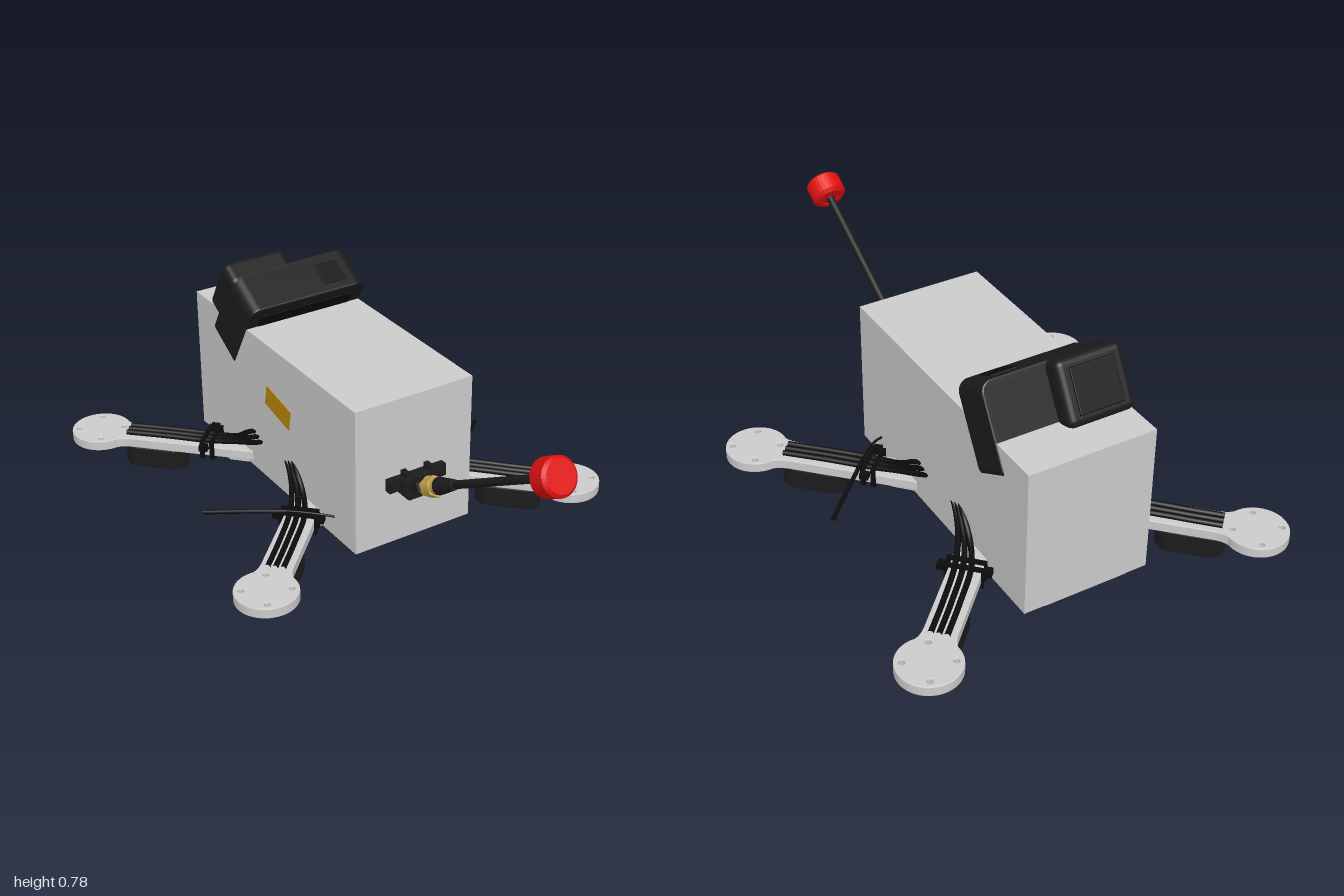
import * as THREE from 'three';
import { RoundedBoxGeometry } from 'three/addons/geometries/RoundedBoxGeometry.js';

const mat = (color) => new THREE.MeshStandardMaterial({ color });
const GREY = mat(0xcccccc), BLACK = mat(0x1c1c1c), WIRE = mat(0x0c0c0c);
const RED = mat(0xe01010), GOLD = mat(0xc8a84a), ORANGE = mat(0xb8860b);
const MID_Z = -0.295; // centre of the cross of arms

function add(parent, name, geometry, material, x = 0, y = 0, z = 0) {
  const mesh = new THREE.Mesh(geometry, material);
  mesh.name = name;
  mesh.position.set(x, y, z);
  parent.add(mesh);
  return mesh;
}
const box = (w, h, d) => new THREE.BoxGeometry(w, h, d);
const cyl = (r1, r2, h, n = 24) => new THREE.CylinderGeometry(r1, r2, h, n);
const tube = (pts, r, n = 24) => new THREE.TubeGeometry(
  new THREE.CatmullRomCurve3(pts.map((p) => new THREE.Vector3(...p))), n, r, 8);

// Flat outline extruded upwards from y = 0
function slab(shape, depth, bevel = 0) {
  const g = new THREE.ExtrudeGeometry(shape, {
    depth: depth - 2 * bevel, curveSegments: 20, bevelEnabled: bevel > 0,
    bevelSize: bevel, bevelThickness: bevel, bevelOffset: -bevel, bevelSegments: 2,
  });
  return g.rotateX(-Math.PI / 2).translate(0, bevel, 0);
}

// Arm outline along +x: straight beam, flared neck, round motor pad with four holes
function armShape() {
  const c = 0.8485, r = 0.105, w = 0.054, a = 2.45;
  const nx = c + r * Math.cos(a), ny = r * Math.sin(a);
  const s = new THREE.Shape();
  s.moveTo(0.05, -w);
  s.lineTo(nx - 0.06, -w);
  s.quadraticCurveTo(nx - 0.02, -w, nx, -ny);
  s.absarc(c, 0, r, -a, a, false);
  s.quadraticCurveTo(nx - 0.02, w, nx - 0.06, w);
  s.lineTo(0.05, w);
  for (let i = 0; i < 4; i++) {
    const t = 0.3 + i * Math.PI / 2;
    const hole = new THREE.Path();
    hole.absarc(c + 0.08 * Math.cos(t), 0.08 * Math.sin(t), 0.01, 0, Math.PI * 2, true);
    s.holes.push(hole);
  }
  return s;
}

function footShape() {
  const s = new THREE.Shape();
  s.absarc(0.064, 0, 0.05, -Math.PI / 2, Math.PI / 2, false);
  s.absarc(-0.064, 0, 0.05, Math.PI / 2, Math.PI * 1.5, false);
  return s;
}

function buildArm(sx, sz) {
  const g = new THREE.Group();
  g.name = 'arm';
  g.position.z = MID_Z;
  g.rotation.y = -Math.atan2(sz, sx);
  add(g, 'armPlate', slab(armShape(), 0.036, 0.003), GREY, 0, 0.08);
  add(g, 'foot', slab(footShape(), 0.08, 0.006), BLACK, 0.64, 0, 0);
  // cable ties wrapped round the arm
  for (const u of [0.415, 0.45]) {
    add(g, 'tieTop', box(0.016, 0.008, 0.126), WIRE, u, 0.138);
    add(g, 'tieBottom', box(0.016, 0.008, 0.126), WIRE, u, 0.076);
    for (const v of [-0.06, 0.06]) add(g, 'tieSide', box(0.016, 0.07, 0.008), WIRE, u, 0.107, v);
  }
  for (const v of [-0.075, 0.075]) add(g, 'tieHead', box(0.03, 0.022, 0.025), WIRE, 0.44, 0.125, v);
  return g;
}

// Three motor wires running along an arm and rising up the body side
function buildWires(sx, sz) {
  const g = new THREE.Group();
  g.name = 'motorWires';
  for (const k of [-1, 0, 1]) {
    const d = 0.018 * k;
    const pts = [
      [0.525 + d, 0.124, 0.525 - d], [0.42 + d, 0.126, 0.42 - d], [0.31 + d, 0.13, 0.3 - d],
      [0.255 + d * 0.6, 0.15, 0.21 - d], [0.229, 0.183 - d * 0.6, 0.14 - d * 1.3],
      [0.215, 0.205 - d * 0.5, 0.095 - d * 1.3],
    ];
    add(g, 'wire', tube(pts.map(([x, y, z]) => [sx * x, y, MID_Z + sz * z]), 0.0095), WIRE);
  }
  return g;
}

// Base plate with tabs that clamp the arms, plus screw heads
function buildBase() {
  const g = new THREE.Group();
  g.name = 'base';
  const half = [[0.15, -0.52], [0.2, -0.47], [0.2, -0.33], [0.275, -0.29], [0.275, -0.23], [0.17, -0.12]];
  const right = [...half, ...half.map(([x, y]) => [x, -y]).reverse()];
  const outline = [...right, ...right.map(([x, y]) => [-x, y]).reverse()];
  const s = new THREE.Shape(outline.map(([x, y]) => new THREE.Vector2(x, y)));
  add(g, 'basePlate', slab(s, 0.02), GREY, 0, 0.061, MID_Z);
  for (const sx of [-1, 1]) for (const sz of [-1, 1]) {
    for (const [x, z] of [[0.08, 0.12], [0.11, 0.2], [0.1, 0.42]]) {
      add(g, 'screw', cyl(0.022, 0.016, 0.014, 16), GREY, sx * x, 0.056, MID_Z + sz * z);
    }
  }
  return g;
}

// Tilted action camera with its lens block on the -z side
function buildCamera() {
  const g = new THREE.Group();
  g.name = 'camera';
  g.position.set(0, 0.585, -0.553);
  g.rotation.x = Math.PI / 6;
  const s = new THREE.Shape();
  const w = 0.23, h = 0.155, r = 0.04;
  s.absarc(w - r, h - r, r, 0, Math.PI / 2);
  s.absarc(r - w, h - r, r, Math.PI / 2, Math.PI);
  s.absarc(r - w, r - h, r, Math.PI, Math.PI * 1.5);
  s.absarc(w - r, r - h, r, Math.PI * 1.5, Math.PI * 2);
  const body = new THREE.ExtrudeGeometry(s, {
    depth: 0.148, curveSegments: 8, bevelSize: 0.006, bevelThickness: 0.006, bevelOffset: -0.006, bevelSegments: 2,
  });
  add(g, 'cameraBody', body, BLACK, 0, 0, -0.074);
  add(g, 'lensBlock', new RoundedBoxGeometry(0.24, 0.215, 0.1, 4, 0.025), BLACK, -0.113, 0.048, -0.096);
  add(g, 'lensGlass', new RoundedBoxGeometry(0.16, 0.15, 0.01, 2, 0.004), WIRE, -0.113, 0.048, -0.146);
  add(g, 'shutterButton', new RoundedBoxGeometry(0.09, 0.008, 0.085, 2, 0.003), WIRE, 0.12, 0.155, 0.005);
  add(g, 'screen', box(0.36, 0.22, 0.004), WIRE, 0, 0, 0.08);
  return g;
}

// Antenna leaning forward and up; its own +y is the mast direction
function buildAntenna() {
  const g = new THREE.Group();
  g.name = 'antenna';
  g.position.set(0, 0.3, 0.33);
  g.rotation.x = Math.PI / 3;
  add(g, 'connectorThread', cyl(0.022, 0.022, 0.05, 20), GOLD, 0, -0.02);
  add(g, 'connectorNut', cyl(0.037, 0.037, 0.05, 6), GOLD, 0, 0.012);
  add(g, 'connectorCollar', cyl(0.029, 0.029, 0.035, 20), GOLD, 0, 0.045);
  add(g, 'strainRelief', cyl(0.017, 0.03, 0.095), BLACK, 0, 0.105);
  add(g, 'mast', cyl(0.014, 0.014, 0.6, 16), BLACK, 0, 0.36);
  const profile = [[0, 0], [0.03, 0], [0.034, 0.006], [0.034, -0.002], [0.05, -0.002], [0.0625, 0.01],
    [0.0625, 0.07], [0.052, 0.08], [0, 0.08]];
  const cap = new THREE.LatheGeometry(profile.map(([x, y]) => new THREE.Vector2(x, y)), 32).toNonIndexed();
  cap.computeVertexNormals();
  add(g, 'antennaCap', cap, RED, 0, 0.655);
  return g;
}

// Bracket that holds the antenna on the front face
function buildMount() {
  const g = new THREE.Group();
  g.name = 'antennaMount';
  add(g, 'mountBar', box(0.22, 0.045, 0.025), BLACK, 0, 0.293, 0.246);
  const s = new THREE.Shape([[-0.07, 0.315], [-0.07, 0.26], [-0.05, 0.237], [0.05, 0.237], [0.07, 0.26], [0.07, 0.315]]
    .map(([x, y]) => new THREE.Vector2(x, y)));
  add(g, 'mountBody', new THREE.ExtrudeGeometry(s, { depth: 0.045, bevelEnabled: false }), BLACK, 0, 0, 0.235);
  const socket = add(g, 'mountSocket', box(0.08, 0.03, 0.06), BLACK, 0, 0.285, 0.285);
  socket.rotation.x = -Math.PI / 6;
  for (const sx of [-1, 1]) {
    add(g, 'mountLug', box(0.018, 0.03, 0.03), BLACK, sx * 0.045, 0.318, 0.25);
    add(g, 'mountScrew', cyl(0.012, 0.012, 0.012, 12).rotateX(Math.PI / 2), BLACK, sx * 0.09, 0.293, 0.262);
  }
  return g;
}

export function createModel() {
  const model = new THREE.Group();
  model.name = 'quadcopter';
  add(model, 'body', box(0.45, 0.53, 1.05), GREY, 0, 0.33, -0.292);
  model.add(buildBase(), buildCamera(), buildMount(), buildAntenna());

  // Tilted label on the side
  add(model, 'sideLabel', box(0.006, 0.075, 0.16), ORANGE, -0.225, 0.385, -0.252).rotation.x = 0.2;

  for (const sx of [-1, 1]) {
    for (const sz of [-1, 1]) model.add(buildArm(sx, sz), buildWires(sx, sz));
    // Receiver whisker tied to each front arm
    add(model, 'whiskerLead', tube([[sx * 0.22, 0.14, 0.105], [sx * 0.27, 0.152, 0.075],
      [sx * 0.34, 0.155, 0.015], [sx * 0.38, 0.15, -0.022]], 0.004), WIRE);
    add(model, 'whisker', tube([[sx * 0.35, 0.153, 0.005], [sx * 0.45, 0.138, -0.088], [sx * 0.56, 0.118, -0.19]], 0.008), WIRE);
  }
  return model;
}
